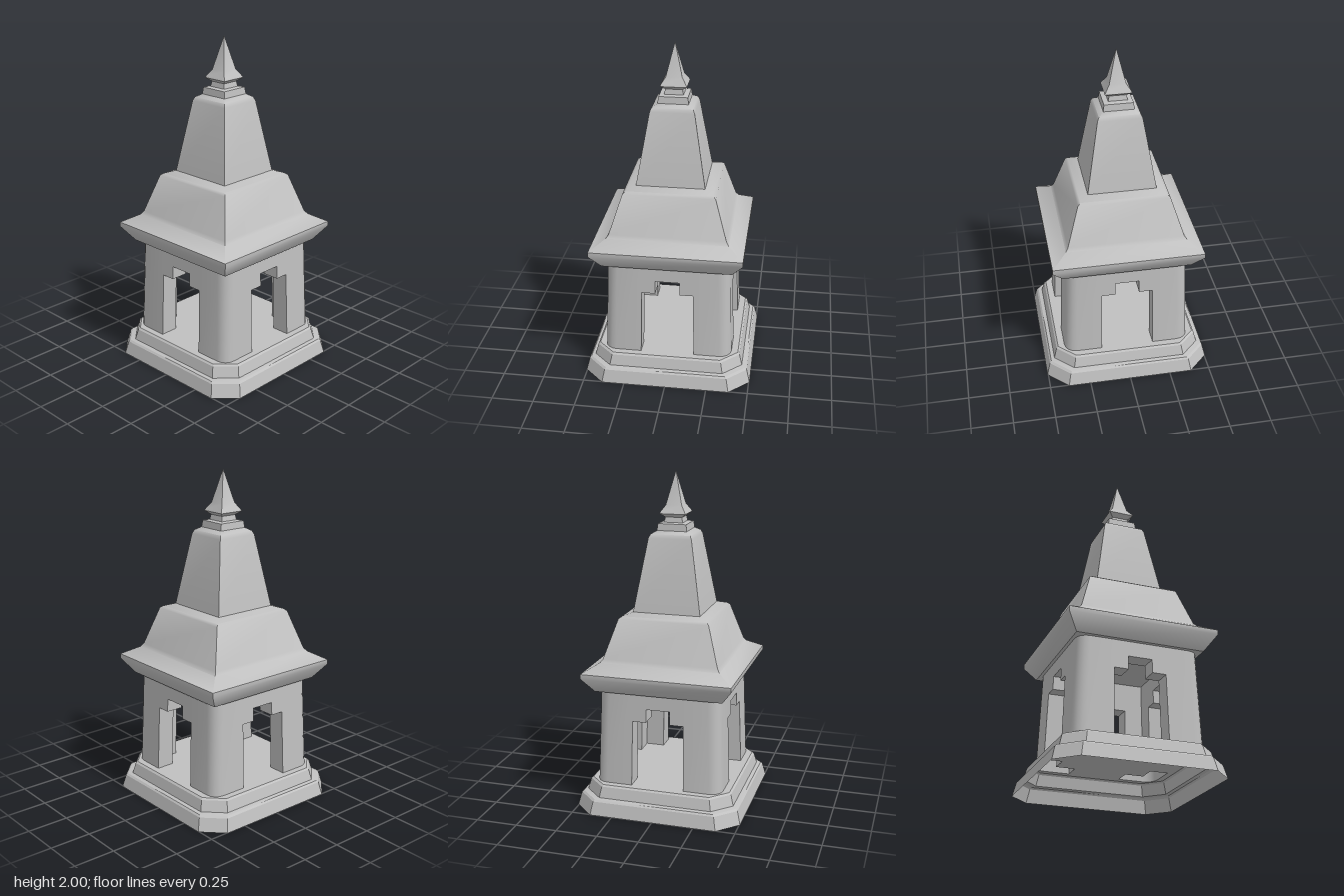
import * as THREE from 'three';
import { toCreasedNormals } from 'three/addons/utils/BufferGeometryUtils.js';

const stone = new THREE.MeshStandardMaterial({ color: 0xc0c0c0, side: THREE.DoubleSide });
stone.name = 'grey stone';

const square = h => [[h, -h], [h, h], [-h, h], [-h, -h]];
const octagon = (h, cut) => {
  const k = h - cut;
  return [[h, -k], [h, k], [k, h], [-k, h], [-h, k], [-h, -k], [-k, -h], [k, -h]];
};

// Skin between stacked outlines: layers = [{ y, pts }], bottom to top
function loft(layers, crease) {
  const pos = [];
  const put = (layer, j) => {
    const [x, z] = layer.pts[j % layer.pts.length];
    pos.push(x, layer.y, -z);
  };
  for (let i = 0; i < layers.length - 1; i++) {
    const lo = layers[i], hi = layers[i + 1];
    for (let j = 0; j < lo.pts.length; j++) {
      put(lo, j); put(lo, j + 1); put(hi, j + 1);
      put(lo, j); put(hi, j + 1); put(hi, j);
    }
  }
  const geo = new THREE.BufferGeometry();
  geo.setAttribute('position', new THREE.Float32BufferAttribute(pos, 3));
  return toCreasedNormals(geo, crease);
}

const toShape = pts => new THREE.Shape(pts.map(p => new THREE.Vector2(...p)));
const plate = (shape, y) => new THREE.ShapeGeometry(shape).rotateX(-Math.PI / 2).translate(0, y, 0);

export function createModel() {
  const model = new THREE.Group();
  model.name = 'shrineTower';
  const add = (name, geo, turn = 0) => {
    const mesh = new THREE.Mesh(geo, stone);
    mesh.name = name;
    mesh.rotation.y = turn;
    model.add(mesh);
    return mesh;
  };

  // Stepped base, hollow underneath
  const base = [[0.505, 0, 0.12], [0.485, 0.08, 0.115], [0.475, 0.09, 0.112], [0.453, 0.095, 0.11],
    [0.436, 0.16, 0.105], [0.425, 0.17, 0.1]];
  add('base', loft(base.map(([h, y, cut]) => ({ y, pts: octagon(h, cut) })), 0.5));

  // L-shaped pillar outline with a rounded outer corner
  const floorY = 0.17, topY = 0.74, outer = 0.385, thick = 0.11, open = 0.16, r = 0.07;
  const inner = outer - thick;
  const taper = y => 1 - 0.052 * (y - floorY) / (topY - floorY);
  const pillar = [[open, outer], [open, inner], [inner, inner], [inner, open], [outer, open]];
  for (let i = 0; i <= 4; i++) {
    const a = i * Math.PI / 8;
    pillar.push([outer - r + r * Math.cos(a), outer - r + r * Math.sin(a)]);
  }

  // Floor, open beneath each hollow pillar
  const floor = toShape(octagon(0.425, 0.1));
  for (let i = 0; i < 4; i++) {
    const c = Math.round(Math.cos(i * Math.PI / 2)), s = Math.round(Math.sin(i * Math.PI / 2));
    floor.holes.push(new THREE.Path(pillar.map(([x, y]) => new THREE.Vector2(x * c - y * s, x * s + y * c))));
  }
  add('floor', plate(floor, floorY));

  // Tapering corner pillars and stepped arch heads
  const pillarGeo = loft([floorY, topY].map(y => ({
    y, pts: pillar.map(([x, z]) => [x * taper(y), z * taper(y)])
  })), 0.6);
  const head = toShape([[-open, 0.57], [-0.075, 0.57], [-0.075, 0.65], [0.075, 0.65],
    [0.075, 0.57], [open, 0.57], [open, topY], [-open, topY]]);
  const headGeo = new THREE.ExtrudeGeometry(head, { depth: thick, bevelEnabled: false }).translate(0, 0, inner);
  const p = headGeo.attributes.position;
  for (let i = 0; i < p.count; i++) {
    const k = taper(p.getY(i));
    p.setX(i, p.getX(i) * k);
    p.setZ(i, p.getZ(i) * k);
  }
  headGeo.computeVertexNormals();
  for (let i = 0; i < 4; i++) {
    add('cornerPillar', pillarGeo, i * Math.PI / 2);
    add('archHead', headGeo, i * Math.PI / 2);
  }

  // Square roof tiers and finial, each a [half width, height] profile
  const tiers = {
    eaveRoof: [[0.385, 0.74], [0.45, 0.83], [0.45, 0.858], [0.36, 0.91], [0.345, 0.93],
      [0.272, 1.16], [0.255, 1.173], [0.203, 1.19]],
    upperRoof: [[0.203, 1.19], [0.13, 1.62], [0.12, 1.642], [0.09, 1.66]],
    finialBase: [[0.09, 1.66], [0.085, 1.7], [0.056, 1.705], [0.05, 1.735]],
    finial: [[0.05, 1.735], [0.078, 1.757], [0.073, 1.768], [0.048, 1.805], [0.0005, 2]]
  };
  for (const [name, profile] of Object.entries(tiers)) {
    add(name, loft(profile.map(([h, y]) => ({ y, pts: square(h) })), 0.8)).position.x = -0.004;
  }
  add('ceiling', plate(toShape(square(0.385)), topY)).position.x = -0.004;

  return model;
}
